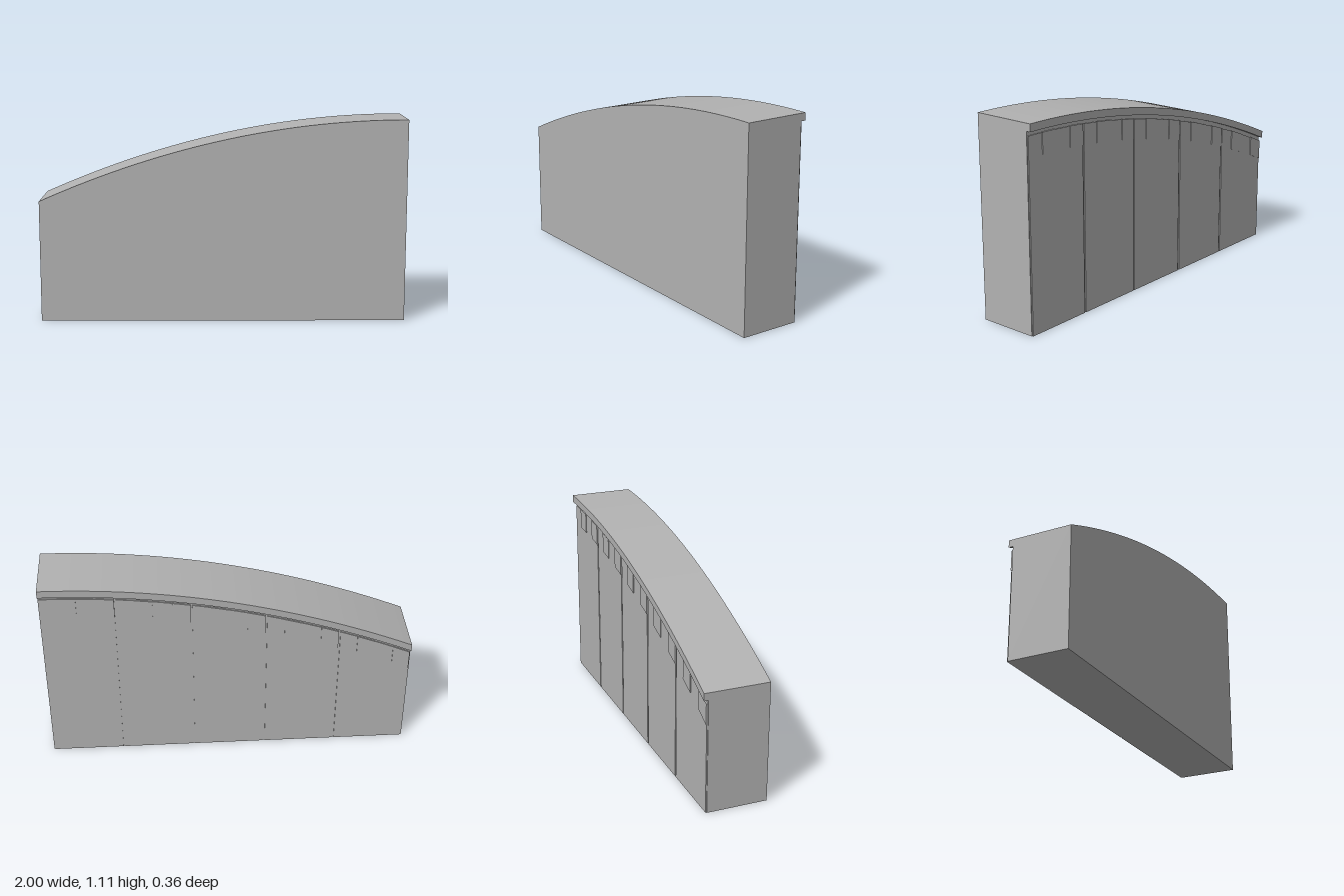
import * as THREE from 'three';

const grey = new THREE.MeshStandardMaterial({ color: 0xb2b2b2 });
grey.name = 'stone grey';

// Height of the arched top edge along the wall
const crown = (x) => 1 + 0.2215 * x - 0.1115 * x * x;

// Solid slab from x0 to x1 and zBack to zFront; its top (and bottom, unless
// flat on the ground) runs parallel to the crown at the given drop.
function slab(name, x0, x1, topDrop, bottomDrop, zBack, zFront) {
  const steps = Math.max(2, Math.round((x1 - x0) * 24));
  const at = (i) => x0 + ((x1 - x0) * i) / steps;
  const points = [];
  if (bottomDrop === null) {
    points.push(new THREE.Vector2(x0, 0), new THREE.Vector2(x1, 0));
  } else {
    for (let i = 0; i <= steps; i++) points.push(new THREE.Vector2(at(i), crown(at(i)) - bottomDrop));
  }
  for (let i = steps; i >= 0; i--) points.push(new THREE.Vector2(at(i), crown(at(i)) - topDrop));
  const geometry = new THREE.ExtrudeGeometry(new THREE.Shape(points), {
    depth: zFront - zBack, bevelEnabled: false,
  });
  geometry.translate(0, 0, zBack);
  const mesh = new THREE.Mesh(geometry, grey);
  mesh.name = name;
  return mesh;
}

export function createModel() {
  const model = new THREE.Group();
  model.name = 'archedWall';

  // Main body, set back so the joints between the panels read as grooves
  model.add(slab('wallCore', -1, 1, 0, null, -0.154, 0.18));

  // Overhanging cornice along the back of the crown
  model.add(slab('cornice', -1, 1, 0, 0.041, -0.179, -0.154));

  // Five back panels separated by narrow vertical joints
  const joint = 0.005;
  for (let i = 0; i < 5; i++) {
    const x = -1 + i * 0.4;
    model.add(slab('backPanel', x + joint, x + 0.4 - joint, 0.065, null, -0.16, -0.154));
  }

  // Row of shallow raised blocks below the cornice
  for (let i = 0; i < 10; i++) {
    const x = -1 + i * 0.2;
    model.add(slab('raisedBlock', x + joint, x + 0.1, 0.063, 0.175, -0.164, -0.155));
  }

  return model;
}
